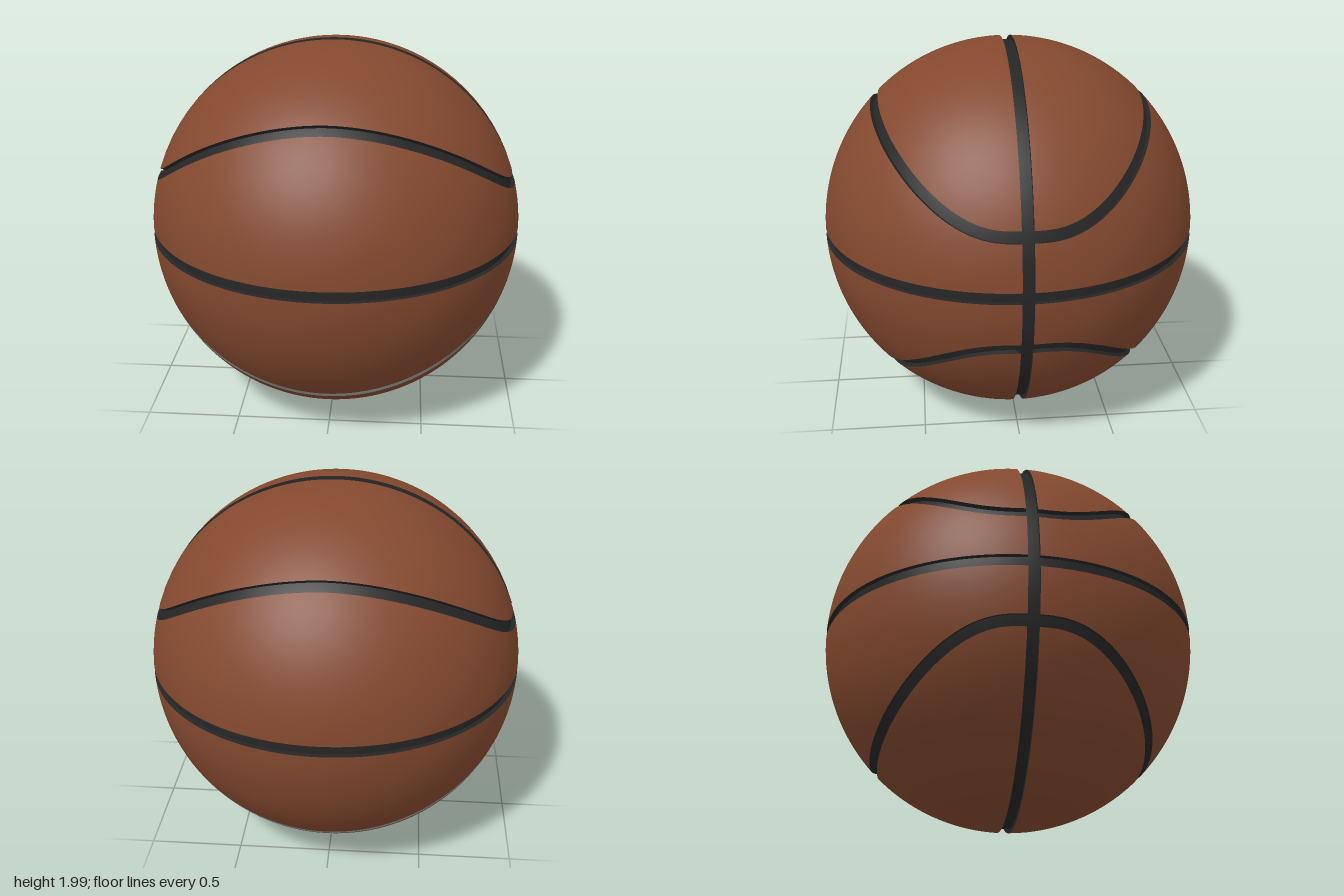
import * as THREE from 'three';

const R = 0.997;      // leather radius
const FLOOR = 0.974;  // groove floor radius
const W = 0.029;      // half width of a groove
const COLS = 96, ROWS = 28;

// Elevation of the curved seam at azimuth phi (a rounded oval seen from above)
function seamElevation(phi) {
  const p = 2.25;
  const k = Math.pow(Math.abs(Math.cos(phi)) / 0.957, p) + Math.pow(Math.abs(Math.sin(phi)) / 0.705, p);
  return Math.acos(Math.pow(k, -1 / p));
}

// Azimuth across a quarter ball, kept clear of the groove at z = 0
function azimuth(u, el) {
  const edge = Math.asin(Math.min(1, W / Math.cos(el)));
  return edge + u * (Math.PI - 2 * edge);
}

// Elevation of the lower (-1) or upper (+1) edge of the curved groove
function grooveEdge(u, side) {
  let el = 0.5;
  for (let i = 0; i < 25; i++) {
    const phi = azimuth(u, el);
    const e = seamElevation(phi);
    const slope = (seamElevation(phi + 1e-3) - seamElevation(phi - 1e-3)) / 2e-3;
    el = e + side * W * Math.hypot(1, slope / Math.cos(e));
  }
  return el;
}

// Unit direction on a panel, mirrored by sy and sz
function direction(u, el, sy, sz) {
  const phi = azimuth(u, el);
  return [Math.cos(el) * Math.cos(phi), sy * Math.sin(el), sz * Math.cos(el) * Math.sin(phi)];
}

function makeGeometry(positions, normals, index) {
  const g = new THREE.BufferGeometry();
  g.setAttribute('position', new THREE.Float32BufferAttribute(positions, 3));
  g.setIndex(index);
  if (normals) g.setAttribute('normal', new THREE.Float32BufferAttribute(normals, 3));
  else g.computeVertexNormals();
  return g;
}

// Leather panel and the groove walls around its border
function buildPanel(isCap, sy, sz) {
  const dirs = [], index = [];
  for (let j = 0; j <= ROWS; j++) {
    const t = j / ROWS;
    for (let i = 0; i <= COLS; i++) {
      const u = i / COLS;
      const from = isCap ? grooveEdge(u, 1) : Math.asin(W);
      const to = isCap ? Math.acos(W) : grooveEdge(u, -1);
      const v = isCap ? 1 - (1 - t) ** 2 : t;
      dirs.push(direction(u, from + (to - from) * v, sy, sz));
    }
  }
  const at = (i, j) => j * (COLS + 1) + i;
  const addFace = (a, b, c) => (sy * sz > 0 ? index.push(a, b, c) : index.push(a, c, b));
  for (let j = 0; j < ROWS; j++) {
    for (let i = 0; i < COLS; i++) {
      addFace(at(i, j), at(i, j + 1), at(i + 1, j));
      addFace(at(i + 1, j), at(i, j + 1), at(i + 1, j + 1));
    }
  }
  const leather = makeGeometry(dirs.flatMap(d => d.map(c => c * R)), dirs.flat(), index);

  // Walk round the border and drop a wall to the groove floor
  const border = [];
  for (let i = 0; i < COLS; i++) border.push(at(i, 0));
  for (let j = 0; j < ROWS; j++) border.push(at(COLS, j));
  for (let i = COLS; i > 0; i--) border.push(at(i, ROWS));
  for (let j = ROWS; j > 0; j--) border.push(at(0, j));
  const wallPos = [], wallIndex = [], n = border.length;
  border.forEach((b, k) => {
    for (const r of [R, FLOOR - 0.004]) wallPos.push(...dirs[b].map(c => c * r));
    const a = 2 * k, c = 2 * ((k + 1) % n);
    wallIndex.push(a, a + 1, c, c, a + 1, c + 1);
  });
  return { leather, wall: makeGeometry(wallPos, null, wallIndex) };
}

export function createModel() {
  const leatherMat = new THREE.MeshStandardMaterial({ color: 0x84492f });
  leatherMat.name = 'brown leather';
  const seamMat = new THREE.MeshStandardMaterial({ color: 0x262626, side: THREE.DoubleSide });
  seamMat.name = 'black seam';

  const ball = new THREE.Group();
  ball.name = 'ball';
  const add = (geometry, material, name) => {
    const mesh = new THREE.Mesh(geometry, material);
    mesh.name = name;
    mesh.position.y = 1;
    ball.add(mesh);
  };

  // Dark core forms the floor of every groove
  add(new THREE.SphereGeometry(FLOOR, 128, 80), seamMat, 'grooveFloor');

  // Eight leather panels: a side panel and a cap in each quarter
  for (const sy of [1, -1]) {
    for (const sz of [1, -1]) {
      for (const isCap of [false, true]) {
        const { leather, wall } = buildPanel(isCap, sy, sz);
        const label = (sy > 0 ? 'upper' : 'lower') + (sz > 0 ? 'Front' : 'Back') + (isCap ? 'Cap' : 'Side');
        add(leather, leatherMat, label + 'Panel');
        add(wall, seamMat, label + 'GrooveWall');
      }
    }
  }
  return ball;
}
